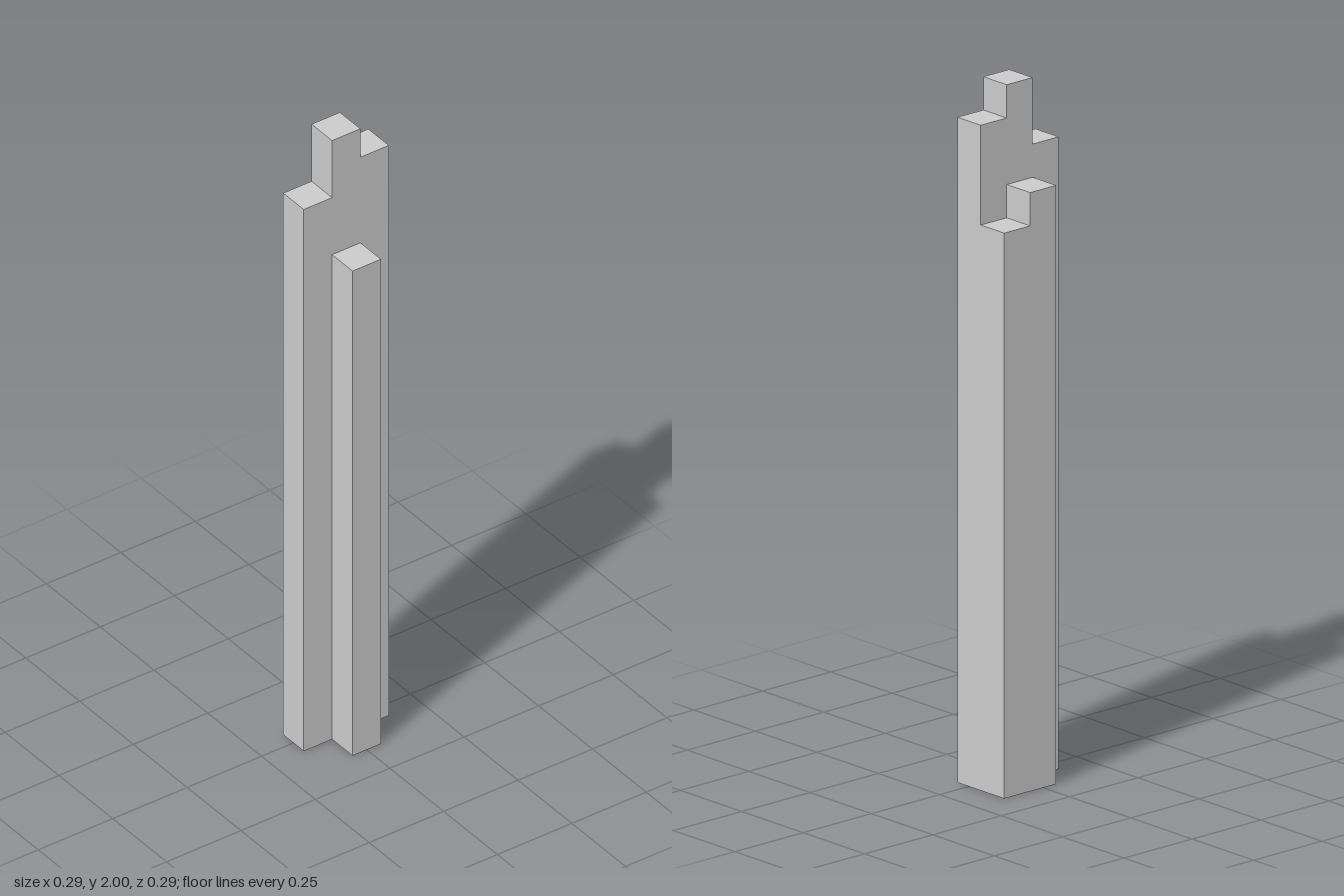
import * as THREE from 'three';
import { mergeGeometries } from 'three/addons/utils/BufferGeometryUtils.js';

const U = 2 / 21; // width of one square column; heights are whole multiples of it

// grid position (x, z) and height of each column, in units
const COLUMNS = [
  { name: 'centralColumn', x: 0, z: 0, h: 21 },
  { name: 'backColumn', x: 0, z: -1, h: 20 },
  { name: 'frontColumn', x: 0, z: 1, h: 19 },
  { name: 'rightColumn', x: -1, z: 0, h: 18 },
  { name: 'leftColumn', x: 1, z: 0, h: 17 },
  { name: 'backRightCornerColumn', x: -1, z: -1, h: 17 },
];

const heightAt = (x, z) => COLUMNS.find((c) => c.x === x && c.z === z)?.h ?? 0;

// Only the exposed skin of a column: walls start where the neighbour ends
function columnGeometry({ x, z, h }) {
  const faces = [
    new THREE.PlaneGeometry(U, U).rotateX(-Math.PI / 2).translate(0, h * U, 0), // roof
    new THREE.PlaneGeometry(U, U).rotateX(Math.PI / 2), // underside
  ];
  for (let i = 0; i < 4; i++) {
    const angle = (i * Math.PI) / 2;
    const base = heightAt(x + Math.round(Math.sin(angle)), z + Math.round(Math.cos(angle)));
    if (base >= h) continue;
    faces.push(
      new THREE.PlaneGeometry(U, (h - base) * U)
        .translate(0, ((h + base) / 2) * U, U / 2)
        .rotateY(angle)
    );
  }
  return mergeGeometries(faces);
}

export function createModel() {
  const tower = new THREE.Group();
  tower.name = 'steppedTower';
  const material = new THREE.MeshStandardMaterial({ color: 0xcccccc, flatShading: true });
  for (const column of COLUMNS) {
    const mesh = new THREE.Mesh(columnGeometry(column), material);
    mesh.name = column.name;
    mesh.position.set(column.x * U, 0, column.z * U);
    tower.add(mesh);
  }
  return tower;
}
